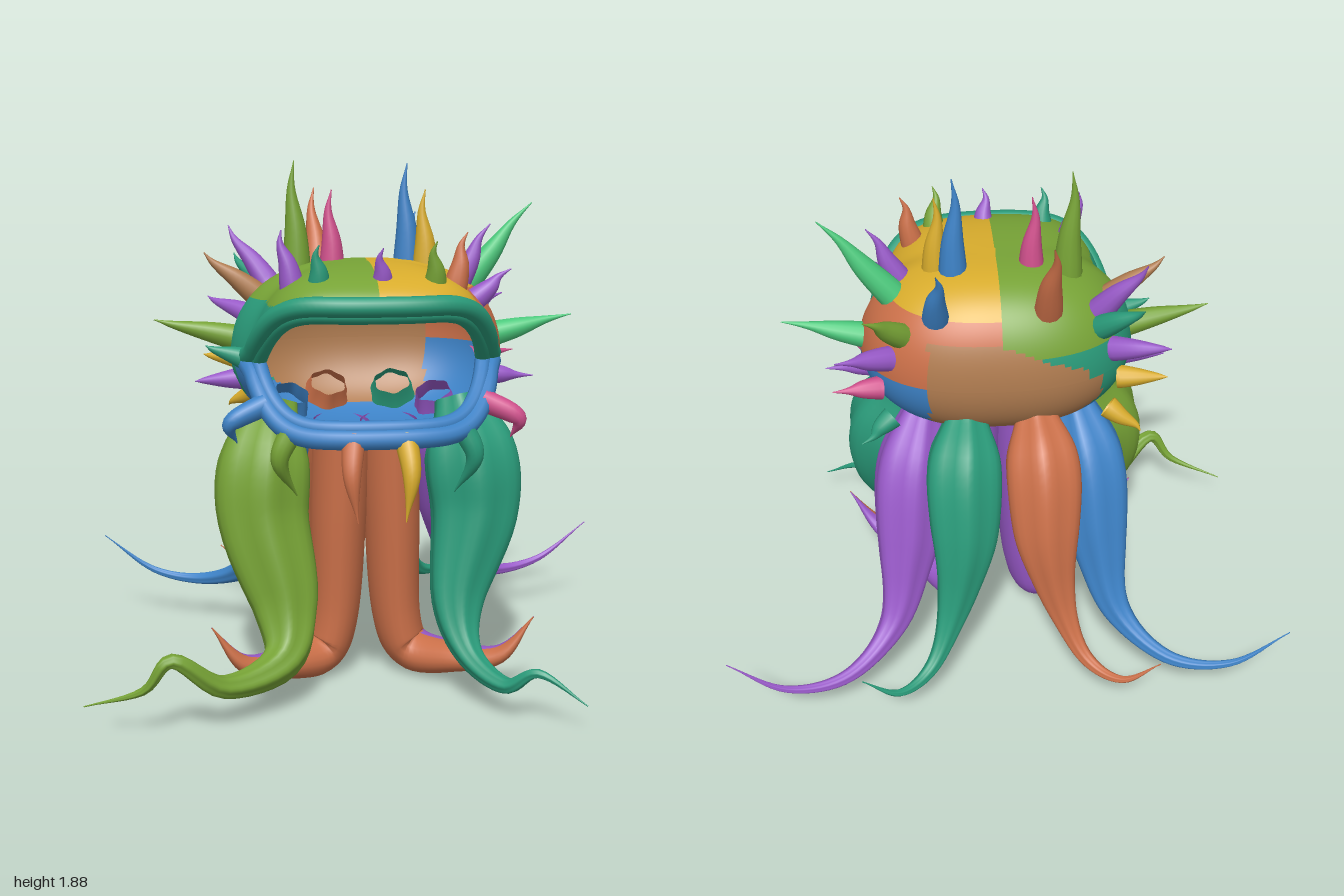
import * as THREE from 'three';

const palette = {
  olive: 0x77a336, yellow: 0xd8ac2c, teal: 0x2a9b7a, blue: 0x3d82c6, orange: 0xcb7049,
  purple: 0x9859c8, pink: 0xd0508c, mint: 0x4bc97c, brown: 0xb07c50,
};
const mats = {};
for (const [name, color] of Object.entries(palette)) {
  mats[name] = new THREE.MeshStandardMaterial({ color, side: THREE.DoubleSide });
  mats[name].name = name;
}
const { clamp, smoothstep } = THREE.MathUtils;

// Closed-ring grid of points joined into a surface, each quad coloured by a rule
function surface(name, rows, cols, point, colourOf) {
  const grid = [], buckets = {};
  for (let i = 0; i <= rows; i++) for (let j = 0; j < cols; j++) grid.push(point(i, j));
  for (let i = 0; i < rows; i++) {
    for (let j = 0; j < cols; j++) {
      const a = i * cols + j, b = i * cols + (j + 1) % cols, c = a + cols, d = b + cols;
      const colour = colourOf(grid[a].clone().lerp(grid[d], 0.5), i, j);
      (buckets[colour] ??= []).push(a, b, d, a, d, c);
    }
  }
  const geo = new THREE.BufferGeometry().setFromPoints(grid);
  const index = [], used = [];
  for (const [colour, list] of Object.entries(buckets)) {
    geo.addGroup(index.length, list.length, used.length);
    index.push(...list);
    used.push(mats[colour]);
  }
  geo.setIndex(index);
  geo.computeVertexNormals();
  const mesh = new THREE.Mesh(geo, used);
  mesh.name = name;
  return mesh;
}

// Tapered limb along a spline; the back colour covers the side turned to -z
function limb(name, points, radii, colour, { back = colour, zScale = 1, rib = 0, sides = 20, rows = 48 } = {}) {
  const curve = new THREE.CatmullRomCurve3(points, false, 'catmullrom', 0.5);
  const widths = new THREE.SplineCurve(radii.map((r, i) => new THREE.Vector2(i, r)));
  const rings = [];
  let n = new THREE.Vector3(0, 0, 1);
  if (Math.abs(curve.getTangent(0).z) > 0.8) n.set(1, 0, 0);
  for (let i = 0; i <= rows; i++) {
    const t = curve.getTangent(i / rows);
    n = n.clone().addScaledVector(t, -n.dot(t)).normalize();
    const r = Math.max(0.002, widths.getPoint(i / rows).y);
    rings.push({ c: curve.getPoint(i / rows), n, b: t.clone().cross(n), r });
  }
  const offset = (i, j) => {
    const ring = rings[i], a = (j / sides) * Math.PI * 2;
    const r = ring.r * (1 + rib * Math.cos(6 * a));
    return ring.n.clone().multiplyScalar(Math.cos(a) * r).addScaledVector(ring.b, Math.sin(a) * r);
  };
  return surface(name, rows, sides, (i, j) => {
    const o = offset(i, j);
    o.z *= zScale;
    return o.add(rings[i].c);
  }, (p, i, j) => (offset(i, j + 0.5).z < 0 ? back : colour));
}

// Rounded outline of the head seen from above, and the jaw edges along it
const soft = (v) => Math.sign(v) * Math.abs(v) ** 0.8;
function rim(theta, upper) {
  const c = soft(Math.cos(theta)), s = soft(Math.sin(theta));
  const x = 0.485 * s * (1 - 0.13 * smoothstep(c, -0.15, 0.35)), z = 0.1 + 0.39 * c;
  const open = smoothstep(z, 0.16, 0.47);
  return new THREE.Vector3(x, upper ? 1.2 + 0.21 * open : 1.2 - 0.215 * open, z);
}

// Half shell from its pole out to the jaw edge
function jaw(name, upper, colourOf) {
  const cols = 120, rows = 36, pole = upper ? 1.53 : 0.92;
  return surface(name, rows, cols, (i, j) => {
    const e = rim((j / cols) * Math.PI * 2, upper), a = (i / rows) * Math.PI / 2;
    const r = Math.sin(a) ** 0.7;
    return new THREE.Vector3(e.x * r, pole + (e.y - pole) * (1 - Math.cos(a)), 0.06 + (e.z - 0.06) * r);
  }, colourOf);
}

function skullColour({ x, y, z }) {
  if (z < -0.2 && x > -0.3 && x < 0.25 && y < 1.36 + 0.4 * Math.min(x, 0)) return 'brown';
  if (x < 0) return y > (z < 0 ? 1.31 : 1.4) && (x > -0.4 || y > 1.4) ? 'olive' : 'teal';
  return y > (z < 0.2 ? 1.43 : 1.4) ? 'yellow' : 'orange';
}
function chinColour({ x, y, z }) {
  if (z < -0.18 && x > -0.35 && x < 0.25) return 'brown';
  if (y < 0.98 && z > 0.12 && Math.abs(x) < 0.27) return x < 0 ? 'pink' : 'yellow';
  return x < 0 && z < 0.1 && y > 1.06 ? 'teal' : 'blue';
}

// Double-ridged lip following the open part of a jaw edge
function lip(name, upper, colour) {
  const group = new THREE.Group();
  group.name = name;
  for (const [out, lift, r] of [[1.03, 0.008, 0.034], [0.98, -0.024, 0.028]]) {
    const pts = [];
    for (let k = -12; k <= 12; k++) {
      const p = rim((k / 12) * 1.42, upper);
      pts.push(p.set(p.x * out * 0.97, p.y + (upper ? lift : -lift), p.z * out));
    }
    const tube = new THREE.TubeGeometry(new THREE.CatmullRomCurve3(pts), 64, r, 10);
    const mesh = new THREE.Mesh(tube, mats[colour]);
    mesh.name = name + 'Ridge';
    group.add(mesh);
  }
  return group;
}

// Horn growing outward from the head's core to a thin flicked tip
function horn(colour, x, y, z) {
  const tip = new THREE.Vector3(x, y, z);
  const core = new THREE.Vector3(clamp(x, -0.24, 0.24), clamp(y - 0.12, 1.12, 1.28), clamp(z, -0.1, 0.3));
  const base = core.clone().addScaledVector(tip.clone().sub(core).normalize(), 0.18);
  const pts = [0, 0.4, 0.75, 1].map((t) => base.clone().lerp(tip, t));
  pts[2].x -= 0.012;
  const r = 0.034 + 0.045 * base.distanceTo(tip);
  return limb('horn', pts, [r, r * 0.74, r * 0.3, 0.002], colour, { sides: 12, rows: 15 });
}

// Barb hooking down from the lower lip
function barb(colour, x, y, z) {
  const tip = new THREE.Vector3(x, y, z);
  const base = rim(Math.atan2(x / 0.475, (z - 0.1) / 0.39), false);
  const bend = base.clone().lerp(tip, 0.45);
  bend.x *= 1.18;
  bend.z += 0.03;
  return limb('barb', [base, bend, tip], [0.04, 0.03, 0.002], colour, { sides: 12, rows: 14 });
}

// Single horns: colour and tip
const crown = [
  ['olive', -0.25, 1.87, 0], ['pink', -0.12, 1.77, 0.02], ['blue', 0.15, 1.86, 0], ['yellow', 0.21, 1.77, 0.04],
  ['orange', -0.16, 1.76, -0.31], ['blue', 0.22, 1.67, -0.3], ['purple', -0.31, 1.65, 0.26],
  ['teal', -0.19, 1.61, 0.38], ['purple', 0.02, 1.6, 0.41], ['olive', 0.2, 1.62, 0.4], ['orange', 0.32, 1.64, 0.29],
  ['mint', 0.6, 1.72, 0], ['brown', -0.57, 1.55, -0.03], ['purple', 0.5, 1.5, 0.15], ['teal', -0.57, 1.25, 0.18],
  ['purple', 0.44, 1.65, 0.06], ['purple', -0.48, 1.63, -0.22],
];
// Mirrored pairs: left colour, right colour and left tip
const hornPairs = [
  ['mint', 'olive', 0.75, 1.32, 0.02], ['purple', 'purple', 0.61, 1.1, 0.04], ['pink', 'yellow', 0.58, 1.16, -0.19],
  ['purple', 'purple', 0.56, 1.36, -0.31], ['olive', 'teal', 0.46, 1.52, -0.32], ['teal', 'yellow', 0.49, 0.96, -0.23],
];
const barbPairs = [
  ['pink', 'blue', 0.47, 0.94, 0.34], ['teal', 'olive', 0.27, 0.76, 0.38], ['yellow', 'orange', 0.08, 0.71, 0.57],
];

const path = (pts, side = 1) => pts.map(([x, y, z]) => new THREE.Vector3(x * side, y, z));
const taper = [0.5, 1, 0.95, 0.58, 0.29, 0.17, 0.09, 0.01];
const tentacle = (name, points, thickness, colour) =>
  limb(name, points, taper.map((t) => t * thickness), colour, { rib: 0.06, sides: 36 });

export function createModel() {
  const model = new THREE.Group();
  model.name = 'tentacledMonster';

  // Hollow head, open at the front
  model.add(jaw('upperHead', true, skullColour), jaw('lowerJaw', false, chinColour));
  model.add(lip('upperLip', true, 'teal'), lip('lowerLip', false, 'blue'));

  // Horns and lip barbs
  for (const spec of crown) model.add(horn(...spec));
  for (const [build, pairs] of [[horn, hornPairs], [barb, barbPairs]]) {
    for (const [left, right, x, y, z] of pairs) model.add(build(left, x, y, z), build(right, -x, y, z));
  }

  // Central legs with curled feet, two-tone front and back, merging at the top
  const leg = [[0.085, 0.94, 0.02], [0.098, 0.6, 0.01], [0.115, 0.22, 0.01],
    [0.17, 0.075, 0.04], [0.31, 0.085, 0.18], [0.46, 0.13, 0.29], [0.57, 0.28, 0.33]];
  const legRadii = [0.105, 0.103, 0.09, 0.08, 0.055, 0.03, 0.002];
  for (const side of [1, -1]) {
    model.add(limb('leg', path(leg, side), legRadii, 'orange', { back: 'purple', zScale: 1.5 }));
  }

  // Front tentacles share a thick upper part and end differently
  const thigh = [[0.33, 1.03, 0.05], [0.37, 0.84, 0.11], [0.38, 0.62, 0.15], [0.31, 0.33, 0.25], [0.33, 0.17, 0.38]];
  const leftEnd = [[0.43, 0.11, 0.54], [0.53, 0.18, 0.62], [0.68, 0.09, 0.7]];
  const rightEnd = [[0.53, 0.14, 0.53], [0.7, 0.27, 0.61], [0.8, 0.16, 0.59], [1, 0.09, 0.53]];
  model.add(tentacle('frontLeftTentacle', path([...thigh, ...leftEnd]), 0.165, 'teal'));
  model.add(tentacle('frontRightTentacle', path([...thigh, ...rightEnd], -1), 0.165, 'olive'));

  // Rear tentacles in mirrored pairs
  const outer = [[0.26, 1.03, -0.07], [0.32, 0.8, -0.18], [0.35, 0.52, -0.29], [0.41, 0.28, -0.42],
    [0.58, 0.17, -0.57], [0.8, 0.19, -0.64], [1, 0.34, -0.65]];
  const inner = [[0.12, 1.05, -0.17], [0.14, 0.87, -0.29], [0.15, 0.6, -0.39], [0.2, 0.35, -0.47],
    [0.28, 0.19, -0.57], [0.4, 0.17, -0.67], [0.53, 0.27, -0.7]];
  model.add(tentacle('rearOuterLeftTentacle', path(outer), 0.125, 'purple'));
  model.add(tentacle('rearOuterRightTentacle', path(outer, -1), 0.125, 'blue'));
  model.add(tentacle('rearInnerLeftTentacle', path(inner), 0.13, 'teal'));
  model.add(tentacle('rearInnerRightTentacle', path(inner, -1), 0.13, 'orange'));
  return model;
}
